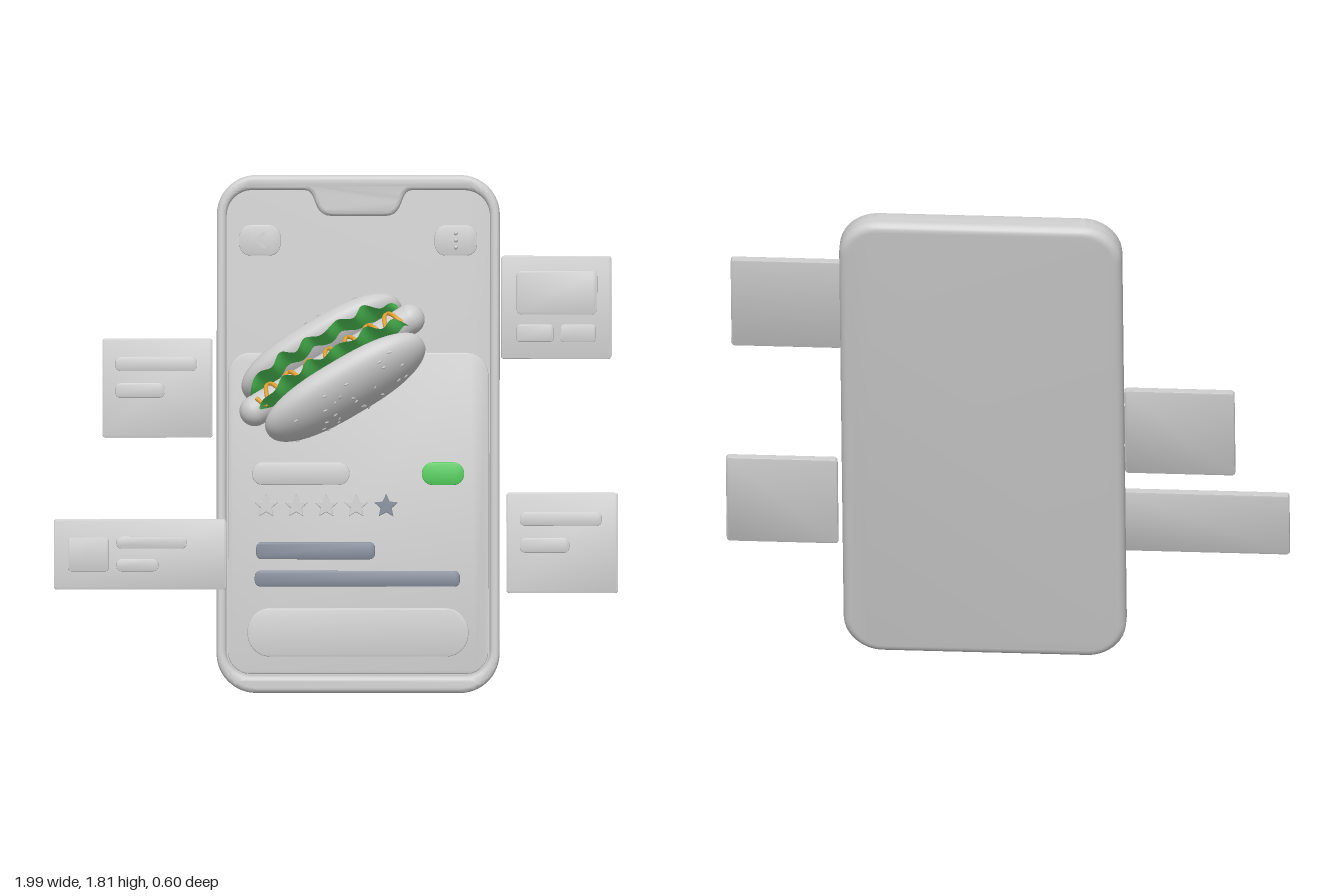
import * as THREE from 'three';
import { toCreasedNormals, mergeVertices } from 'three/addons/utils/BufferGeometryUtils.js';

const TILT = -0.167;
const GREY = 0xcccccc, GREEN = 0x4fc757, SLATE = 0x808896, SAUCE = 0xe0a030;

function add(parent, name, geometry, color = GREY, double = false) {
  const material = new THREE.MeshStandardMaterial({ color });
  if (double) material.side = THREE.DoubleSide;
  const mesh = new THREE.Mesh(geometry, material);
  mesh.name = name;
  parent.add(mesh);
  return mesh;
}

function roundedRect(w, h, r) {
  const s = new THREE.Shape(), x = w / 2 - r, y = h / 2 - r;
  s.absarc(x, -y, r, -Math.PI / 2, 0);
  s.absarc(x, y, r, 0, Math.PI / 2);
  s.absarc(-x, y, r, Math.PI / 2, Math.PI);
  s.absarc(-x, -y, r, Math.PI, Math.PI * 1.5);
  s.closePath();
  return s;
}

// Extrudes a shape to thickness t, centred on z, edges rounded within the outline
function extrude(shape, t, bevel, segments = 2) {
  const g = new THREE.ExtrudeGeometry(shape, {
    depth: t - 2 * bevel, bevelEnabled: true, bevelThickness: bevel, bevelSize: bevel,
    bevelOffset: -bevel, bevelSegments: segments, curveSegments: 10,
  });
  g.translate(0, 0, bevel - t / 2);
  return toCreasedNormals(g, 0.7);
}

// Rounded slab spanning x0..x1, y0..y1 of the parent, centred at z
function slab(parent, name, [x0, x1, y0, y1], z, t, r, color = GREY, bevel = 0.004) {
  const w = x1 - x0, h = y1 - y0;
  const m = add(parent, name, extrude(roundedRect(w, h, Math.min(r, h / 2 - 1e-4)), t, bevel), color);
  m.position.set((x0 + x1) / 2, (y0 + y1) / 2, z);
  return m;
}

function starShape(r) {
  const pts = [];
  for (let i = 0; i < 10; i++) {
    const a = Math.PI / 2 + i * Math.PI / 5, q = i % 2 ? r * 0.48 : r;
    pts.push(new THREE.Vector2(q * Math.cos(a), q * Math.sin(a)));
  }
  return new THREE.Shape(pts);
}

function buildPhone() {
  const phone = new THREE.Group();
  phone.name = 'phone';
  phone.position.set(0.075, 0.912, -0.045);
  phone.rotation.x = TILT;

  // Body and raised rim with a notch at the top
  const W = 1.0, H = 1.83;
  add(phone, 'phoneBody', extrude(roundedRect(W, H, 0.14), 0.07, 0.03, 5)).position.z = -0.01;
  const rim = roundedRect(W, H, 0.14), hole = new THREE.Path();
  const x = 0.465, top = 0.862, bottom = -0.855, r = 0.09;
  hole.moveTo(-x + r, bottom);
  hole.lineTo(x - r, bottom);
  hole.absarc(x - r, bottom + r, r, -Math.PI / 2, 0);
  hole.absarc(x - r, top - r, r, 0, Math.PI / 2);
  hole.lineTo(0.19, top);
  hole.bezierCurveTo(0.14, top, 0.17, 0.77, 0.09, 0.77);
  hole.lineTo(-0.09, 0.77);
  hole.bezierCurveTo(-0.17, 0.77, -0.14, top, -0.19, top);
  hole.lineTo(-x + r, top);
  hole.absarc(-x + r, top - r, r, Math.PI / 2, Math.PI);
  hole.absarc(-x + r, bottom + r, r, Math.PI, Math.PI * 1.5);
  rim.holes.push(hole);
  add(phone, 'phoneRim', extrude(rim, 0.075, 0.017, 4)).position.z = 0.0075;

  // Screen contents, given in upright front coordinates
  const ui = (name, [x0, x1, y0, y1], z, t, rad, color) => slab(phone, name,
    [x0 - 0.075, x1 - 0.075, (y0 - 0.912 - 0.166 * z) / 0.986, (y1 - 0.912 - 0.166 * z) / 0.986], z, t, rad, color);
  ui('lowerSheet', [-0.385, 0.535, 0.08, 1.2], 0.024, 0.012, 0.08);
  const back = ui('backButton', [-0.345, -0.2, 1.545, 1.652], 0.067, 0.016, 0.04);
  const menu = ui('menuButton', [0.345, 0.495, 1.545, 1.652], 0.067, 0.016, 0.04);
  for (const s of [1, -1]) {
    const bar = add(back, 'chevronStroke', new THREE.BoxGeometry(0.045, 0.008, 0.006));
    bar.position.set(0, s * 0.013, 0.009);
    bar.rotation.z = s * 0.65;
  }
  for (const y of [-0.025, 0, 0.025]) {
    const dot = add(menu, 'menuDot', new THREE.SphereGeometry(0.007, 12, 8));
    dot.position.set(0, y, 0.008);
  }
  ui('titlePill', [-0.3, 0.045, 0.745, 0.825], 0.064, 0.015, 0.04);
  ui('greenPill', [0.3, 0.45, 0.745, 0.825], 0.064, 0.015, 0.04, GREEN);
  ui('shortBar', [-0.285, 0.135, 0.487, 0.547], 0.067, 0.012, 0.02, SLATE);
  ui('longBar', [-0.29, 0.435, 0.392, 0.447], 0.067, 0.012, 0.02, SLATE);
  ui('largeButton', [-0.315, 0.465, 0.153, 0.322], 0.097, 0.035, 0.08);
  for (let i = 0; i < 5; i++) {
    const star = add(phone, 'ratingStar', extrude(starShape(0.044), 0.012, 0.002, 1), i === 4 ? SLATE : GREY);
    star.position.set(-0.325 + i * 0.106, -0.255, i === 4 ? 0.05 : 0.029);
  }
  return phone;
}

// Floating card with raised details in card coordinates
function buildCard(name, [x, y, z], w, h, details) {
  const card = new THREE.Group();
  card.name = name;
  card.position.set(x, y, z);
  card.rotation.x = TILT;
  slab(card, 'cardPanel', [-w / 2, w / 2, -h / 2, h / 2], 0, 0.028, 0.012);
  for (const [box, rad] of details) slab(card, 'cardDetail', box, 0.016, 0.014, rad, GREY, 0.003);
  return card;
}

function buildHotDog() {
  const dog = new THREE.Group();
  dog.name = 'hotDog';
  // Local x runs along the sausage, y to the open side, z to the front bun
  const A = new THREE.Vector3(0.86, 0.5, -0.1).normalize();
  const U = new THREE.Vector3(0.37, -0.53, 0.7).cross(A).normalize();
  const N = A.clone().cross(U);
  dog.applyMatrix4(new THREE.Matrix4().makeBasis(A, U, N).setPosition(-0.012, 1.178, 0.11));

  // Bun surface point for position c along the length and angle a around it
  const bun = (c, a, s) => {
    const r = Math.pow(Math.max(0, 1 - Math.pow(Math.abs(c), 2.6)), 0.45);
    const n = Math.sin(a) * r;
    return [c * 0.32, Math.cos(a) * r * 0.13, s * (0.1025 + n * (n > 0 ? 0.085 : 0.07))];
  };
  let seed = 7;
  const rand = () => (seed = (seed * 16807) % 2147483647) / 2147483647;

  for (const s of [1, -1]) {
    const side = s > 0 ? 'front' : 'back';
    let g = new THREE.SphereGeometry(1, 40, 36).rotateZ(Math.PI / 2);
    const p = g.attributes.position;
    for (let i = 0; i < p.count; i++) {
      const c = THREE.MathUtils.clamp(p.getX(i), -1, 1);
      p.setXYZ(i, ...bun(c, Math.atan2(p.getZ(i) * s, p.getY(i)), s));
    }
    g.deleteAttribute('uv');
    g.deleteAttribute('normal');
    g = mergeVertices(g, 1e-5);
    g.computeVertexNormals();
    add(dog, side + 'Bun', g);

    // Seeds lying on the crust
    for (let i = 0; i < 26; i++) {
      const flake = add(dog, 'bunSeed', new THREE.SphereGeometry(1, 8, 6));
      flake.position.set(...bun(rand() * 1.5 - 0.75, 0.5 + rand() * 2.1, s));
      flake.scale.set(0.009, 0.004, 0.004);
      flake.rotation.z = rand() * 2 - 1;
    }

    // Ruffled lettuce leaf
    const leaf = new THREE.PlaneGeometry(2, 2, 80, 12), q = leaf.attributes.position;
    for (let i = 0; i < q.count; i++) {
      const u = q.getX(i), v = q.getY(i);
      const half = 0.148 * Math.pow(1 - Math.pow(Math.abs(u), 4) * 0.9, 0.5) + 0.006 * Math.sin(u * 23 + s);
      q.setXYZ(i, u * 0.305, v * half, s * 0.047 + 0.014 * v * v * Math.sin(u * 17 + s + v));
    }
    leaf.computeVertexNormals();
    add(dog, side + 'Lettuce', leaf, GREEN, true);
  }

  add(dog, 'sausage', new THREE.CapsuleGeometry(0.054, 0.635, 12, 28).rotateZ(Math.PI / 2)).position.y = 0.015;

  // Sauce zigzag on the sausage
  const pts = [];
  for (let i = 0; i <= 60; i++) {
    const a = 0.75 * Math.sin(i * 0.75);
    pts.push(new THREE.Vector3(-0.29 + i * 0.58 / 60, 0.015 + 0.057 * Math.cos(a), 0.057 * Math.sin(a)));
  }
  add(dog, 'sauce', new THREE.TubeGeometry(new THREE.CatmullRomCurve3(pts), 180, 0.008, 8), SAUCE);
  return dog;
}

export function createModel() {
  const model = new THREE.Group();
  model.name = 'foodOrderingPhone';
  const lines = [[[-0.15, 0.14, 0.06, 0.11], 0.02], [[-0.15, 0.025, -0.035, 0.018], 0.02]];
  model.add(
    buildPhone(),
    buildHotDog(),
    buildCard('upperRightCard', [-0.635, 1.04, -0.252], 0.39, 0.35, lines),
    buildCard('lowerLeftCard', [0.797, 0.555, 0.145], 0.395, 0.355, lines),
    buildCard('upperLeftCard', [0.775, 1.378, 0.02], 0.39, 0.365, [
      [[-0.14, 0.145, -0.025, 0.13], 0.02],
      [[-0.14, -0.01, -0.122, -0.06], 0.012],
      [[0.015, 0.14, -0.122, -0.06], 0.012],
    ]),
    buildCard('lowerRightCard', [-0.695, 0.512, 0.138], 0.61, 0.25, [
      [[-0.255, -0.11, -0.06, 0.06], 0.012],
      [[-0.085, 0.165, 0.02, 0.063], 0.02],
      [[-0.085, 0.065, -0.06, -0.016], 0.02],
    ]),
  );
  return model;
}
